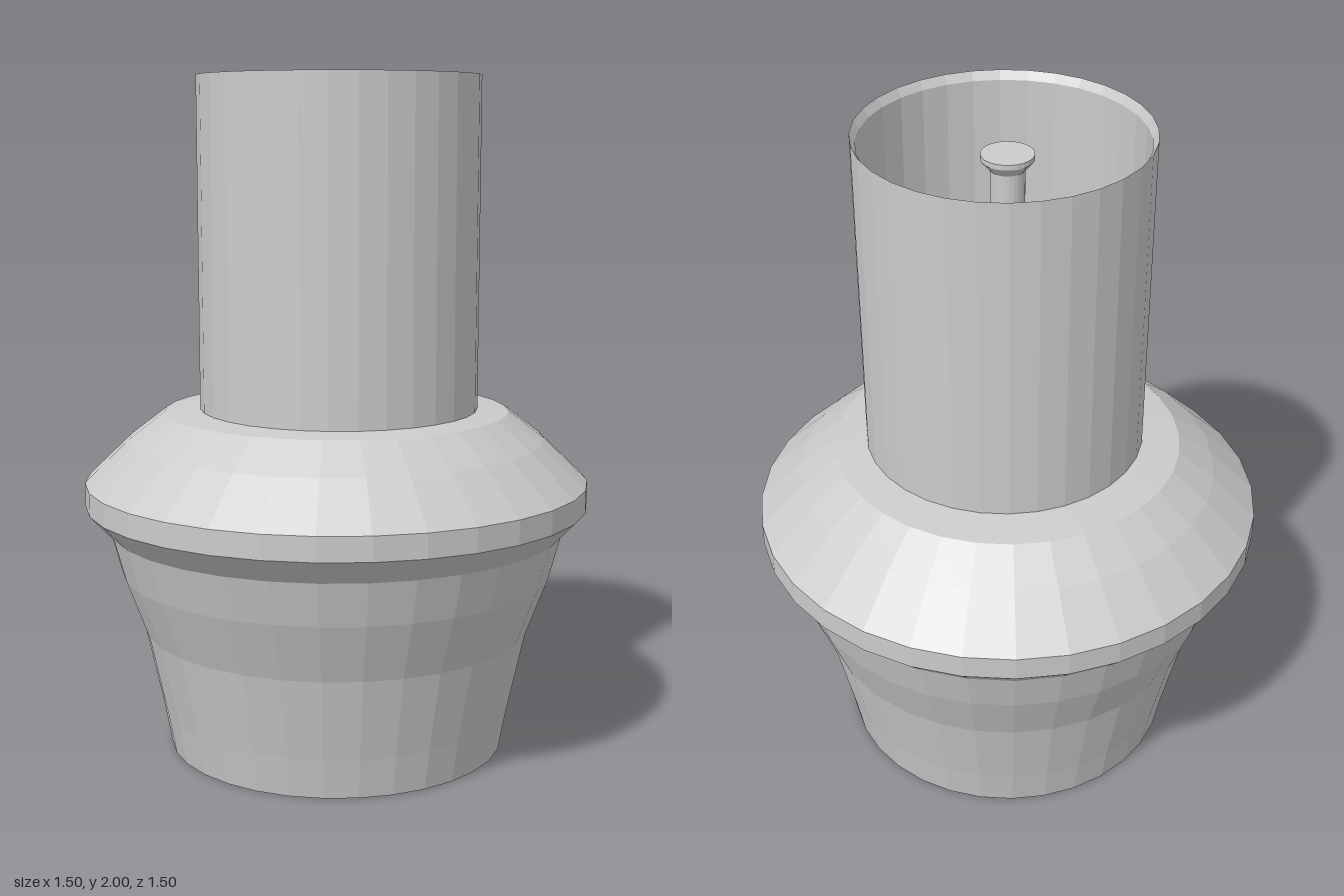
import * as THREE from 'three';

const SEGMENTS = 32;

export function createModel() {
  const model = new THREE.Group();
  const material = new THREE.MeshStandardMaterial({ color: 0xcccccc, flatShading: true });

  const add = (parent, name, geometry) => {
    const mesh = new THREE.Mesh(geometry, material);
    mesh.name = name;
    parent.add(mesh);
    return mesh;
  };
  // Profiles run bottom to top on the outside, as [radius, height]
  const lathe = (profile, segments = SEGMENTS) =>
    new THREE.LatheGeometry(profile.map(([r, y]) => new THREE.Vector2(r, y)), segments);

  // Flared base with a wide collar and a nearly flat top that floors the tube
  add(model, 'body', lathe([
    [0, 0], [0.505, 0], [0.527, 0.12], [0.58, 0.365], [0.645, 0.54], [0.68, 0.67],
    [0.75, 0.745], [0.75, 0.815], [0.62, 0.94], [0.513, 1.022], [0.4, 1.034], [0, 1.05],
  ]));

  // The tube assembly sits slightly off the body's axis
  const upper = new THREE.Group();
  upper.name = 'upperAssembly';
  upper.position.set(0.012, 0, 0.017);
  model.add(upper);

  // Thin open tube with a bevelled inner lip
  add(upper, 'tube', lathe([
    [0.412, 1.02], [0.412, 2], [0.397, 1.975], [0.397, 1.02],
  ]));

  // Centre post with a flared cap
  const post = add(model, 'centerPost', lathe([
    [0.048, 1.03], [0.048, 1.9], [0.074, 1.93], [0.074, 1.945], [0, 1.945],
  ], 24));
  post.position.set(0, 0, 0);

  // Four low fins joining the post to the tube wall
  const fins = new THREE.Group();
  fins.name = 'fins';
  upper.add(fins);
  for (let i = 0; i < 4; i++) {
    const fin = add(fins, 'fin', new THREE.BoxGeometry(0.36, 0.16, 0.018).translate(0.22, 1.11, 0));
    fin.rotation.y = THREE.MathUtils.degToRad(28) + i * Math.PI / 2;
  }

  return model;
}
